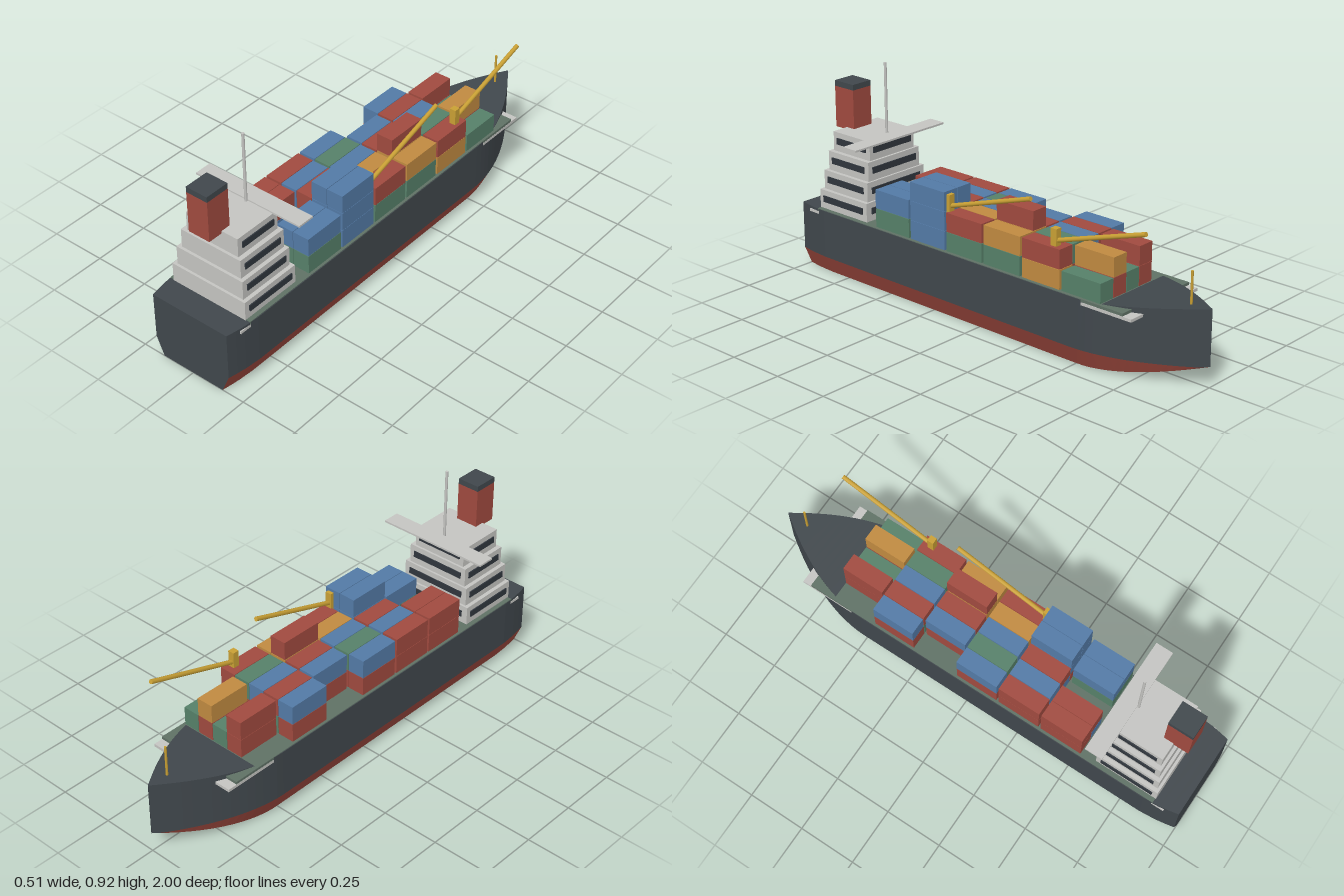
import * as THREE from 'three';

const mat = (name, color, side = THREE.FrontSide) => {
  const m = new THREE.MeshStandardMaterial({ color, side });
  m.name = name;
  return m;
};

export function createModel() {
  const model = new THREE.Group();
  model.name = 'containerShip';

  const hullDark = mat('hullDark', 0x40474c, THREE.DoubleSide);
  const red = mat('red', 0xa04a3f, THREE.DoubleSide);
  const blue = mat('blue', 0x537aa6);
  const green = mat('green', 0x568069);
  const orange = mat('orange', 0xc08a40);
  const yellow = mat('craneYellow', 0xc9a034);
  const white = mat('paleGrey', 0xc4c4c1);
  const deckGreen = mat('deckGreen', 0x5f7165);
  const glass = mat('windowDark', 0x30363d);

  const add = (name, geo, material, x = 0, y = 0, z = 0, parent = model) => {
    const m = new THREE.Mesh(geo, material);
    m.name = name;
    m.position.set(x, y, z);
    parent.add(m);
    return m;
  };
  // Box given by its x, y and z ranges
  const box = (name, material, x0, x1, y0, y1, z0, z1, parent) =>
    add(name, new THREE.BoxGeometry(x1 - x0, y1 - y0, z1 - z0), material,
      (x0 + x1) / 2, (y0 + y1) / 2, (z0 + z1) / 2, parent);

  // Flat-shaded skin between two rails of points
  const skin = (name, material, a, b) => {
    const pos = [];
    for (let i = 0; i < a.length - 1; i++) {
      for (const p of [a[i], a[i + 1], b[i + 1], a[i], b[i + 1], b[i]]) pos.push(...p);
    }
    const g = new THREE.BufferGeometry();
    g.setAttribute('position', new THREE.Float32BufferAttribute(pos, 3));
    g.computeVertexNormals();
    add(name, g, material);
  };

  // Hull: sections from stern to bow, each with keel edge, chine and deck edge
  const stations = [1, 0.96, 0.92, 0.85, 0, -0.5];
  for (let i = 1; i <= 15; i++) stations.push(-0.5 - i / 30);
  const halfWidth = (z) => {
    if (z > 0.85) return 0.203 - 0.02 * ((z - 0.85) / 0.15) ** 1.6;
    if (z < -0.5) return Math.max(0.001, 0.203 * (1 - ((-z - 0.5) / 0.5) ** 1.8));
    return 0.203;
  };
  const rail = (s, level) => stations.map((z) => {
    const w = halfWidth(z);
    const rise = 0.085 * Math.max(0, (-z - 0.53) / 0.47) ** 1.6;
    const sheer = 0.03 * Math.max(0, (-z - 0.6) / 0.4);
    if (level === 0) return [s * w * 0.81, rise, z];
    if (level === 1) return [s * w, Math.max(0.08, rise), z];
    return [s * w, 0.285 + sheer, z];
  });
  const R = [0, 1, 2].map((l) => rail(1, l));
  const L = [0, 1, 2].map((l) => rail(-1, l));
  skin('leftBilge', red, R[0], R[1]);
  skin('rightBilge', red, L[1], L[0]);
  skin('leftHullSide', hullDark, R[1], R[2]);
  skin('rightHullSide', hullDark, L[2], L[1]);
  skin('hullTop', hullDark, R[2], L[2]);
  skin('transom', hullDark, R.map((r) => r[0]), L.map((r) => r[0]));

  // Deck plates
  box('deckEdgePlate', white, -0.2, 0.2, 0.263, 0.275, -0.785, 0.94);
  box('mainDeck', deckGreen, -0.2, 0.2, 0.276, 0.2875, -0.745, 0.89);

  // Accommodation block: stepped tiers with window bands
  const house = new THREE.Group();
  house.name = 'deckhouse';
  model.add(house);
  const tiers = [
    [0.18, 0.615, 0.893], [0.163, 0.625, 0.882],
    [0.146, 0.634, 0.87], [0.126, 0.644, 0.858],
  ];
  tiers.forEach(([w, z0, z1], i) => {
    const y = 0.286 + i * 0.0823;
    box('tier', white, -w, w, y, y + 0.0823, z0, z1, house);
    for (const s of [-1, 1]) {
      const x = s * (w + 0.002);
      box('sideWindows', glass, x - 0.003, x + 0.003, y + 0.031, y + 0.058, z0 + 0.022, z1 - 0.022, house);
    }
    box('frontWindows', glass, -w * 0.85, w * 0.85, y + 0.031, y + 0.058, z0 - 0.005, z0 + 0.001, house);
  });
  box('bridgeWing', white, -0.253, 0.253, 0.613, 0.621, 0.592, 0.667, house);

  // Funnel and masts
  box('funnel', red, -0.05, 0.05, 0.605, 0.782, 0.815, 0.923);
  box('funnelCap', hullDark, -0.05, 0.05, 0.782, 0.806, 0.815, 0.923);
  add('mast', new THREE.CylinderGeometry(0.006, 0.006, 0.305, 8), white, 0, 0.768, 0.672);
  add('bowMast', new THREE.CylinderGeometry(0.005, 0.005, 0.14, 8), yellow, 0, 0.37, -0.905);

  // Containers: rows from stern to bow, columns from right to left, bottom up
  const paint = { r: red, b: blue, g: green, o: orange };
  const rows = [
    ['rr', 'br', '', 'gb', 'gb'],
    ['rr', 'gb', 'br', 'rbb', 'bbb'],
    ['rb', 'rg', 'gb', 'bo', 'gr'],
    ['', 'rb', 'gr', 'bor', 'go'],
    ['rb', 'gr', 'ob', 'rg', 'or'],
    ['', 'rr', 'g', 'ro', 'g'],
  ];
  const cargo = new THREE.Group();
  cargo.name = 'containers';
  model.add(cargo);
  const crate = new THREE.BoxGeometry(0.074, 0.08, 0.188);
  rows.forEach((row, i) => row.forEach((stack, j) => [...stack].forEach((c, k) =>
    add('container', crate, paint[c], (j - 2) * 0.0765, 0.329 + k * 0.0815, 0.455 - i * 0.1985, cargo))));

  // Deck cranes with inclined booms
  for (const z of [0.16, -0.39]) {
    const crane = new THREE.Group();
    crane.name = 'crane';
    crane.position.set(0.162, 0, z);
    model.add(crane);
    box('cranePost', yellow, -0.014, 0.014, 0.287, 0.52, -0.014, 0.014, crane);
    const from = new THREE.Vector3(0, 0.466, 0.01);
    const to = new THREE.Vector3(0, 0.603, -0.424);
    const dir = to.clone().sub(from);
    const boom = add('craneBoom', new THREE.CylinderGeometry(0.0095, 0.0095, dir.length(), 8), yellow, 0, 0, 0, crane);
    boom.position.copy(from).add(to).multiplyScalar(0.5);
    boom.quaternion.setFromUnitVectors(new THREE.Vector3(0, 1, 0), dir.normalize());
  }
  return model;
}
